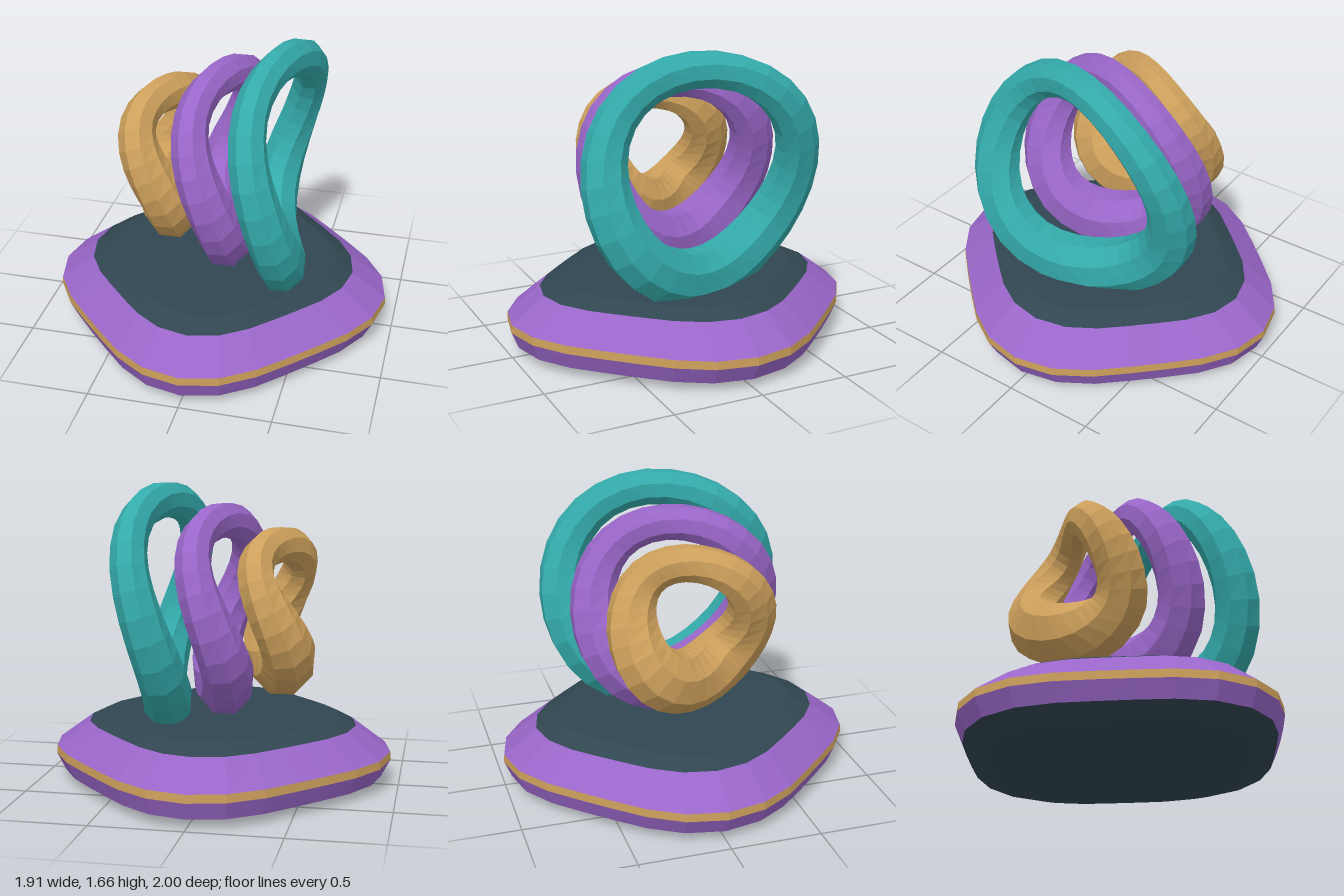
import * as THREE from 'three';

const paint = (name, color) => {
  const m = new THREE.MeshStandardMaterial({ color });
  m.name = name;
  return m;
};

// Skin a list of equal-length closed rings with flat-shaded quads
function loft(rings, closed = false) {
  const n = rings[0].length, pos = [];
  const add = (...pts) => pts.forEach((p) => pos.push(p.x, p.y, p.z));
  const last = closed ? rings.length : rings.length - 1;
  for (let i = 0; i < last; i++) {
    const lo = rings[i], hi = rings[(i + 1) % rings.length];
    for (let j = 0; j < n; j++) {
      const k = (j + 1) % n;
      add(lo[j], lo[k], hi[k], lo[j], hi[k], hi[j]);
    }
  }
  const g = new THREE.BufferGeometry();
  g.setAttribute('position', new THREE.Float32BufferAttribute(pos, 3));
  g.computeVertexNormals();
  return g;
}

// Soft diamond outline of the base at height y
function baseRing([y, rx, rz], sides = 28) {
  return Array.from({ length: sides }, (_, j) => {
    const a = (j / sides) * Math.PI * 2;
    const r = 0.94 + 0.06 * Math.cos(4 * a);
    return new THREE.Vector3(rx * r * Math.sin(a), y, rz * r * Math.cos(a));
  });
}

// Upright loop that sways sideways twice per turn and thickens toward the bottom
function swayingLoop(cx, R, r0, taper, sway = 0.09, steps = 30, sides = 8) {
  const rings = [];
  for (let i = 0; i < steps; i++) {
    const t = (i / steps) * Math.PI * 2 - Math.PI / 2;
    const c = Math.cos(t), s = Math.sin(t);
    const centre = new THREE.Vector3(cx - sway * Math.sin(2 * t), 1 + R * c, R * s);
    const tangent = new THREE.Vector3(-2 * sway * Math.cos(2 * t), -R * s, R * c).normalize();
    const out = new THREE.Vector3(0, c, s);
    const side = new THREE.Vector3().crossVectors(tangent, out).normalize();
    const r = r0 - taper * c;
    rings.push(Array.from({ length: sides }, (_, j) => {
      const a = ((j + 0.5) / sides) * Math.PI * 2;
      return centre.clone()
        .addScaledVector(out, 1.05 * r * Math.cos(a))
        .addScaledVector(side, 0.9 * r * Math.sin(a));
    }));
  }
  return loft(rings, true);
}

export function createModel() {
  const slate = paint('slate', 0x304650);
  const purple = paint('purple', 0x9966c8);
  const gold = paint('gold', 0xcc9f5b);
  const teal = paint('teal', 0x34aaab);

  const model = new THREE.Group();
  model.name = 'loopSculpture';
  const add = (name, geometry, material, parent = model) => {
    const mesh = new THREE.Mesh(geometry, material);
    mesh.name = name;
    parent.add(mesh);
  };

  // Base, in coloured bands of [height, half width, half depth]
  const base = new THREE.Group();
  base.name = 'base';
  model.add(base);
  const bottom = [0, 0.75, 0.8], lower = [0.05, 0.905, 0.96];
  const rimLow = [0.145, 0.955, 1], rimHigh = [0.19, 0.952, 0.997];
  const shoulder = [0.33, 0.76, 0.81], top = [0.375, 0.665, 0.69];
  const bands = [
    ['foot', slate, [[0, 0, 0], bottom, lower]],
    ['lowerBevel', purple, [lower, rimLow]],
    ['rimBand', gold, [rimLow, rimHigh]],
    ['upperBevel', purple, [rimHigh, shoulder]],
    ['topPlate', slate, [shoulder, top, [0.375, 0, 0]]],
  ];
  for (const [name, material, levels] of bands) {
    add(name, loft(levels.map((l) => baseRing(l))), material, base);
  }

  // Three loops growing from right to left
  add('smallLoop', swayingLoop(-0.32, 0.33, 0.135, 0.038), gold);
  add('middleLoop', swayingLoop(0, 0.46, 0.13, 0.035), purple);
  add('largeLoop', swayingLoop(0.325, 0.57, 0.125, 0.028), teal);

  return model;
}
